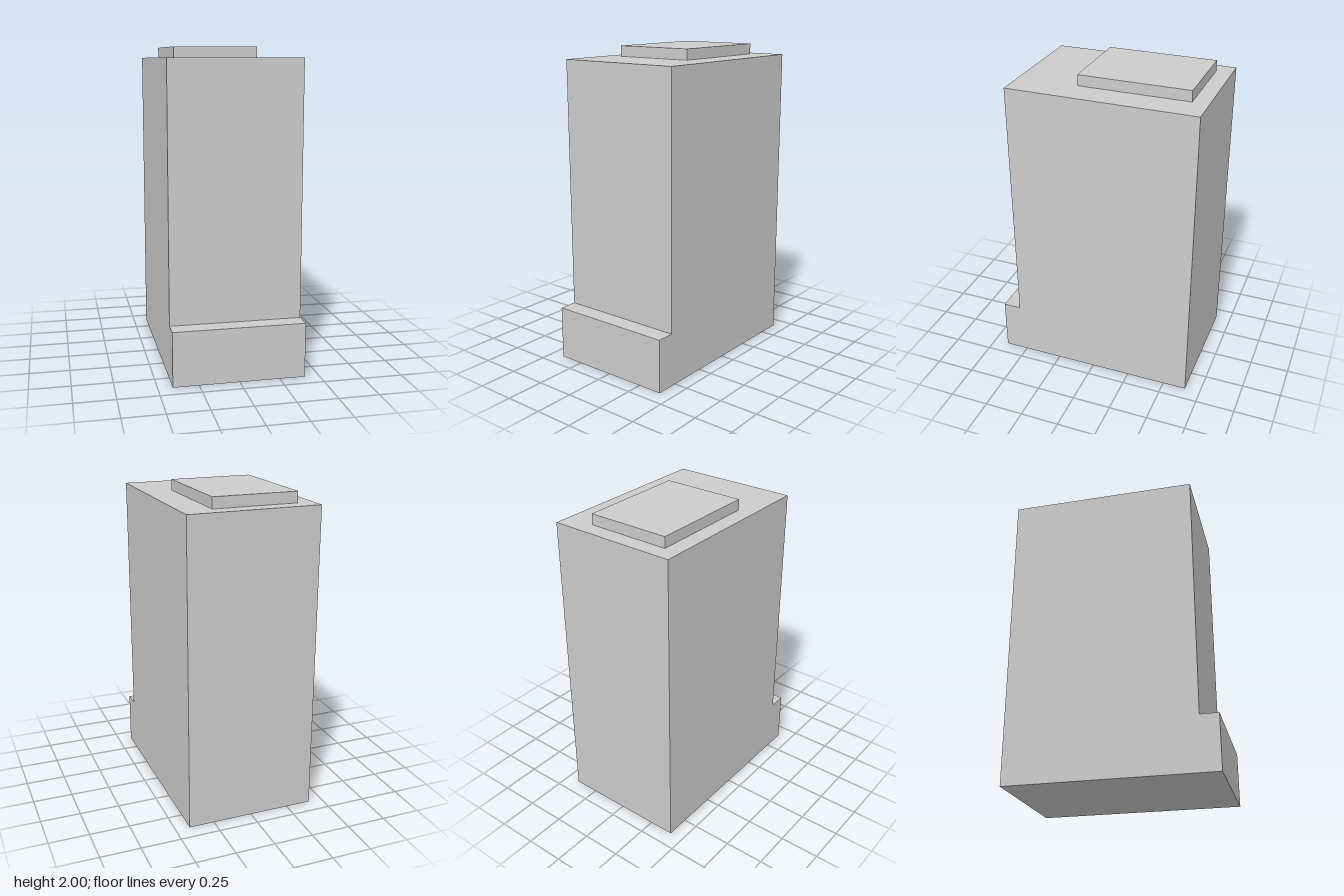
import * as THREE from 'three';

const HALF_WIDTH = 0.41, BACK = -0.65, TOWER_FRONT = 0.535, PODIUM_FRONT = 0.65;
const PODIUM_TOP = 0.342, ROOF = 1.932, TOP = 2;

export function createModel() {
  const group = new THREE.Group();
  const material = new THREE.MeshStandardMaterial({ color: 0xcccccc, flatShading: true });

  const add = (name, geometry) => {
    const mesh = new THREE.Mesh(geometry, material);
    mesh.name = name;
    group.add(mesh);
    return mesh;
  };

  // Tower with its front podium step: one side profile (z, y) extruded across the width
  const profile = new THREE.Shape([
    [BACK, 0], [PODIUM_FRONT, 0], [PODIUM_FRONT, PODIUM_TOP],
    [TOWER_FRONT, PODIUM_TOP], [TOWER_FRONT, ROOF], [BACK, ROOF],
  ].map(([z, y]) => new THREE.Vector2(z, y)));
  const tower = new THREE.ExtrudeGeometry(profile, { depth: 2 * HALF_WIDTH, bevelEnabled: false });
  tower.rotateY(-Math.PI / 2).translate(HALF_WIDTH, 0, 0);
  add('towerWithPodium', tower);

  // Low rooftop block, set off-centre toward the back
  const [x0, x1, z0, z1] = [-0.308, 0.222, -0.549, 0.148];
  add('roofBlock', new THREE.BoxGeometry(x1 - x0, TOP - ROOF, z1 - z0))
    .position.set((x0 + x1) / 2, (ROOF + TOP) / 2, (z0 + z1) / 2);

  return group;
}
